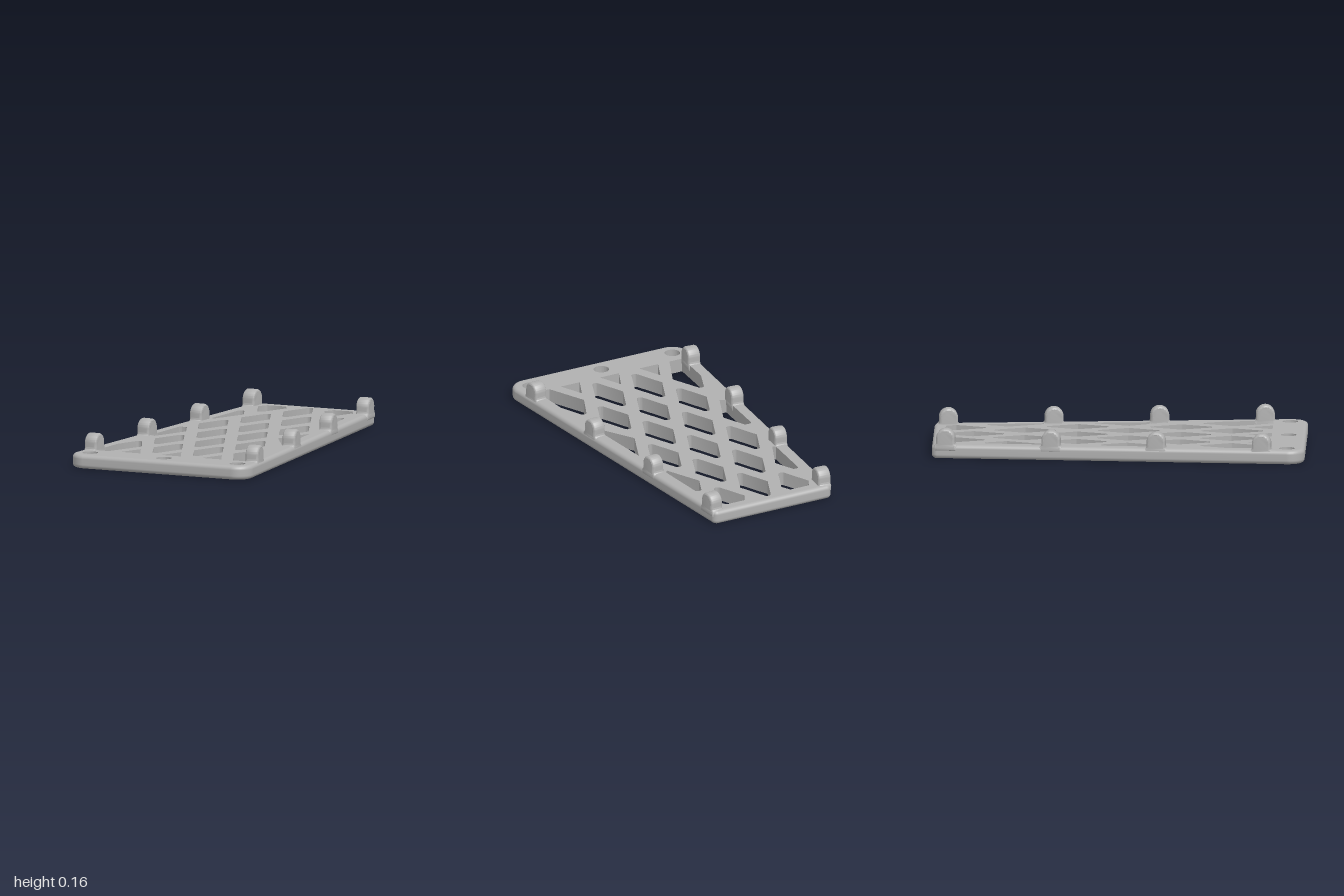
import * as THREE from 'three';
import { toCreasedNormals } from 'three/addons/utils/BufferGeometryUtils.js';

const T = 0.075;      // plate thickness
const EDGE = 0.022;   // rounding of the outer edge

// Rounded polygon from [x, z, radius] corners; inset moves it inwards
function roundPoly(corners, inset = 0, steps = 8) {
  const out = [];
  corners.forEach(([x, z, r = 0], i) => {
    const n = corners.length;
    const p = new THREE.Vector2(x, z);
    if (r === 0) { out.push(p); return; }
    const prev = corners[(i + n - 1) % n], next = corners[(i + 1) % n];
    const a = new THREE.Vector2(prev[0], prev[1]).sub(p).normalize();
    const b = new THREE.Vector2(next[0], next[1]).sub(p).normalize();
    const half = Math.acos(THREE.MathUtils.clamp(a.dot(b), -1, 1)) / 2;
    const c = p.clone().addScaledVector(a.clone().add(b).normalize(), r / Math.sin(half));
    const reach = r / Math.tan(half);
    const a0 = p.clone().addScaledVector(a, reach).sub(c).angle();
    let turn = p.clone().addScaledVector(b, reach).sub(c).angle() - a0;
    if (turn > Math.PI) turn -= 2 * Math.PI;
    if (turn < -Math.PI) turn += 2 * Math.PI;
    for (let k = 0; k <= steps; k++) {
      const t = a0 + turn * k / steps;
      out.push(new THREE.Vector2(c.x + (r - inset) * Math.cos(t), c.y + (r - inset) * Math.sin(t)));
    }
  });
  return out;
}

const flip = pts => pts.map(p => new THREE.Vector2(p.x, -p.y));
const mirror = corners => corners.map(([x, z, r]) => [-x, z, r]).reverse();

const OUTLINE = [[-0.536, 1, 0.09], [0.536, 1, 0.09], [0.36, -1, 0.03], [-0.36, -1, 0.03]];

// All lattice openings, as corner lists
function openings() {
  const list = [];
  const diamond = (x, z) => list.push([
    [x, z - 0.196, 0.02], [x + 0.084, z, 0.004], [x, z + 0.196, 0.02], [x - 0.084, z, 0.004]]);
  const pair = c => list.push(c, mirror(c));

  // full diamonds in staggered rows
  for (const z of [-0.785, -0.23, 0.325]) diamond(0, z);
  for (const z of [-0.23, 0.325]) for (const x of [-0.24, 0.24]) diamond(x, z);
  for (const z of [-0.51, 0.045, 0.6]) for (const x of [-0.12, 0.12]) diamond(x, z);

  // triangles cut by the front band
  for (const x of [-0.24, 0, 0.24]) list.push([[x, 0.685], [x + 0.058, 0.815], [x - 0.058, 0.815]]);

  // openings cut by the back band and the side rails
  pair([[-0.28, -0.884, 0.01], [-0.252, -0.937, 0.012], [-0.14, -0.937, 0.012],
    [-0.113, -0.884, 0.01], [-0.197, -0.69, 0.02]]);
  pair([[-0.314, -0.715, 0.015], [-0.282, -0.715, 0.015], [-0.233, -0.6, 0.004],
    [-0.322, -0.405], [-0.338, -0.42]]);
  list.push([[-0.372, -0.09, 0.015], [-0.33, -0.09, 0.015], [-0.272, 0.045, 0.004],
    [-0.362, 0.25], [-0.397, 0.235]]);
  list.push([[0.362, -0.165], [0.272, 0.045, 0.004], [0.392, 0.25], [0.397, 0.22]]);
  pair([[-0.36, 0.41, 0.02], [-0.272, 0.605, 0.004], [-0.367, 0.815], [-0.445, 0.815],
    [-0.428, 0.575, 0.01]]);
  return list;
}

// Flat lattice body
function latticeGeometry() {
  const shape = new THREE.Shape(flip(roundPoly(OUTLINE, EDGE)));
  for (const c of openings()) shape.holes.push(new THREE.Path(flip(roundPoly(c))));
  for (const x of [-0.435, 0, 0.435]) {
    shape.holes.push(new THREE.Path().absarc(x, -0.905, 0.042, 0, Math.PI * 2, true));
  }
  const g = new THREE.ExtrudeGeometry(shape, { depth: T, bevelEnabled: false, curveSegments: 20 });
  g.rotateX(-Math.PI / 2);
  return toCreasedNormals(g, 0.6);
}

// Rounded band around the plate, built from inset loops
function rimGeometry() {
  const profile = [];
  for (let k = 0; k <= 6; k++) {
    const t = k / 6 * Math.PI / 2;
    profile.push([EDGE * (1 - Math.sin(t)), EDGE * (1 - Math.cos(t))]);
  }
  for (let k = 6; k >= 0; k--) profile.push([profile[k][0], T - profile[k][1]]);
  const pos = [], index = [];
  let n = 0;
  for (const [inset, y] of profile) {
    const loop = roundPoly(OUTLINE, inset);
    n = loop.length;
    for (const p of loop) pos.push(p.x, y, p.y);
  }
  for (let j = 0; j < profile.length - 1; j++) {
    for (let i = 0; i < n; i++) {
      const a = j * n + i, b = j * n + (i + 1) % n;
      index.push(a, b, b + n, a, b + n, a + n);
    }
  }
  const g = new THREE.BufferGeometry();
  g.setAttribute('position', new THREE.Float32BufferAttribute(pos, 3));
  g.setIndex(index);
  g.computeVertexNormals();
  return g;
}

// Arched eyelet with a cross hole, centred on its width
function lugGeometry() {
  const r = 0.05, cy = 0.11, width = 0.074, bevel = 0.014;
  const s = new THREE.Shape();
  s.moveTo(-0.06, 0.04);
  s.lineTo(0.06, 0.04);
  s.lineTo(0.06, 0.073);
  s.quadraticCurveTo(r, 0.076, r, 0.09);
  s.lineTo(r, cy);
  s.absarc(0, cy, r, 0, Math.PI, false);
  s.lineTo(-r, 0.09);
  s.quadraticCurveTo(-r, 0.076, -0.06, 0.073);
  s.holes.push(new THREE.Path().absarc(0, cy, 0.025, 0, Math.PI * 2, true));
  const g = new THREE.ExtrudeGeometry(s, {
    depth: width - 2 * bevel, bevelEnabled: true, bevelThickness: bevel,
    bevelSize: bevel, bevelOffset: -bevel, bevelSegments: 4, curveSegments: 14 });
  g.translate(0, 0, -(width - 2 * bevel) / 2);
  g.rotateY(Math.PI / 2);
  return toCreasedNormals(g, 0.7);
}

export function createModel() {
  const grey = new THREE.MeshStandardMaterial({ color: 0xb0b0b0 });
  grey.name = 'grey';
  const model = new THREE.Group();
  model.name = 'latticePanel';
  const add = (name, geometry) => {
    const m = new THREE.Mesh(geometry, grey);
    m.name = name;
    model.add(m);
    return m;
  };

  add('latticePlate', latticeGeometry());
  add('roundedRim', rimGeometry());

  // four eyelets along each tapered side
  const lug = lugGeometry();
  for (const side of [-1, 1]) {
    for (let i = 0; i < 4; i++) {
      const z = -0.925 + i * 0.565;
      const m = add(side > 0 ? 'leftEyelet' : 'rightEyelet', lug);
      m.position.set(side * (0.334 + i * 0.0465), 0, z);
      m.rotation.y = side * 0.087;
    }
  }
  return model;
}
